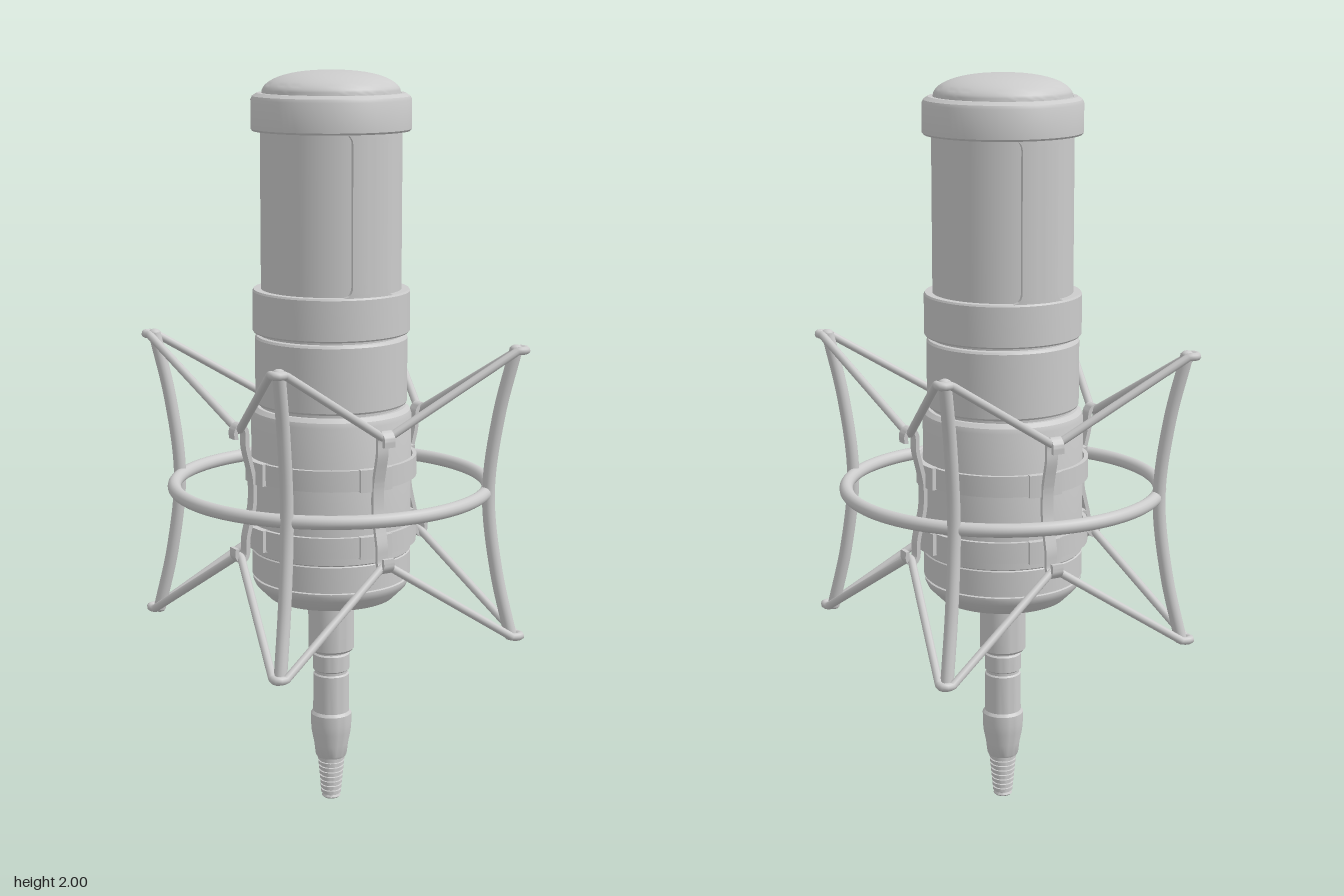
import * as THREE from 'three';
import { toCreasedNormals } from 'three/addons/utils/BufferGeometryUtils.js';

const material = new THREE.MeshStandardMaterial({ color: 0xcccccc });
const V = (x, y, z) => new THREE.Vector3(x, y, z);

function part(parent, name, geometry, crease = 0) {
  const mesh = new THREE.Mesh(crease ? toCreasedNormals(geometry, crease) : geometry, material);
  mesh.name = name;
  parent.add(mesh);
  return mesh;
}

// Solid of revolution from [radius, y] pairs, listed upward along the outside
function turned(points, segments = 72) {
  return new THREE.LatheGeometry(points.map(([r, y]) => new THREE.Vector2(r, y)), segments);
}

// Curved block between two radii, centred on +z
function arcBlock(inner, outer, halfAngle, y, height) {
  const mid = -Math.PI / 2;
  const shape = new THREE.Shape();
  shape.absarc(0, 0, outer, mid - halfAngle, mid + halfAngle, false);
  shape.absarc(0, 0, inner, mid + halfAngle, mid - halfAngle, true);
  const g = new THREE.ExtrudeGeometry(shape, { depth: height, bevelEnabled: false, curveSegments: 10 });
  return g.rotateX(-Math.PI / 2).translate(0, y, 0);
}

// Upright between the grille windows, flared at its ends to round the window corners
function grillePost(y0, y1, halfWidth, corner, inner, outer) {
  const g = new THREE.BoxGeometry(1, 1, 1, 12, 60, 1);
  const p = g.attributes.position;
  for (let i = 0; i < p.count; i++) {
    const y = y0 + (p.getY(i) + 0.5) * (y1 - y0);
    const d = Math.max(0, corner - Math.min(y - y0, y1 - y));
    const w = halfWidth + corner - Math.sqrt(Math.max(0, corner * corner - d * d));
    const a = p.getX(i) * 2 * w / outer;
    const r = p.getZ(i) > 0 ? outer : inner;
    p.setXYZ(i, r * Math.sin(a), y, r * Math.cos(a));
  }
  g.computeVertexNormals();
  return g;
}

// Flat strip following a centre line of [radius, y] points, hooked at both ends
function hookStrip(points, thickness, width) {
  const curve = new THREE.CatmullRomCurve3(points.map(([r, y]) => V(r, y, 0)));
  const sideA = [], sideB = [], n = 70;
  for (let i = 0; i <= n; i++) {
    const c = curve.getPoint(i / n), t = curve.getTangent(i / n);
    const ox = -t.y * thickness / 2, oy = t.x * thickness / 2;
    sideA.push(new THREE.Vector2(c.x + ox, c.y + oy));
    sideB.unshift(new THREE.Vector2(c.x - ox, c.y - oy));
  }
  const g = new THREE.ExtrudeGeometry(new THREE.Shape([...sideA, ...sideB]),
    { depth: width, bevelEnabled: false });
  return g.translate(0, 0, -width / 2).rotateY(-Math.PI / 2);
}

// Elastic cord zigzagging between four corner posts and four hooks
function cordLoop(cornerY, hookY) {
  const path = new THREE.CurvePath();
  const up = V(0, 1, 0), hook = V(0, hookY, 0.279);
  const tip = V(0.384, cornerY, 0.384);
  const c0 = V(0.345, cornerY, 0.371), c1 = V(0.371, cornerY, 0.345);
  const h0 = hook.clone().lerp(c0, 0.05);
  const h1 = h0.clone().setX(-h0.x);
  for (let i = 0; i < 4; i++) {
    const turn = (v) => v.clone().applyAxisAngle(up, i * Math.PI / 2);
    const next = (v) => v.clone().applyAxisAngle(up, (i + 1) * Math.PI / 2);
    path.add(new THREE.QuadraticBezierCurve3(turn(h1), turn(hook), turn(h0)));
    path.add(new THREE.LineCurve3(turn(h0), turn(c0)));
    path.add(new THREE.QuadraticBezierCurve3(turn(c0), turn(tip), turn(c1)));
    path.add(new THREE.LineCurve3(turn(c1), next(h1)));
  }
  return new THREE.TubeGeometry(path, 400, 0.011, 10, true);
}

export function createModel() {
  const model = new THREE.Group();
  model.name = 'studioMicrophone';

  // Microphone
  const mic = new THREE.Group();
  mic.name = 'microphone';
  model.add(mic);
  part(mic, 'lowerBody', turned([
    [0, 0.585], [0.15, 0.585], [0.172, 0.592], [0.205, 0.625], [0.212, 0.64], [0.212, 0.648],
    [0.207, 0.65], [0.207, 0.655], [0.215, 0.657], [0.215, 0.722], [0.212, 0.725], [0.215, 0.728],
    [0.215, 1.095], [0.211, 1.108], [0.2, 1.118], [0.19, 1.118],
  ]), 0.45);
  part(mic, 'upperBody', turned([
    [0.19, 1.112], [0.19, 1.125], [0.2, 1.127], [0.203, 1.132], [0.203, 1.302],
    [0.199, 1.308], [0.19, 1.31], [0.19, 1.322],
  ]), 0.45);
  part(mic, 'grilleCollar', turned([
    [0.185, 1.318], [0.206, 1.318], [0.209, 1.322], [0.209, 1.427], [0.206, 1.432], [0.184, 1.432],
  ]), 0.45);
  part(mic, 'grille', turned([[0.186, 1.42], [0.186, 1.86]]));
  for (const turn of [0, Math.PI]) {
    part(mic, 'grillePost', grillePost(1.43, 1.85, 0.052, 0.028, 0.19, 0.206), 0.5).rotation.y = turn;
  }
  part(mic, 'topCollar', turned([
    [0.184, 1.845], [0.206, 1.845], [0.21, 1.85], [0.21, 1.925], [0.206, 1.934],
    [0.194, 1.942], [0.182, 1.942], [0.182, 1.935],
  ]), 0.45);
  const dome = [[0.181, 1.932], [0.181, 1.943]];
  for (let i = 1; i <= 14; i++) {
    const a = i / 14 * Math.PI / 2;
    dome.push([0.181 * Math.cos(a) ** 0.85, 1.943 + 0.057 * Math.sin(a)]);
  }
  dome[dome.length - 1][0] = 0;
  part(mic, 'domeCap', turned(dome), 0.6);

  // Cable connector with ribbed strain relief
  const plug = new THREE.Group();
  plug.name = 'connector';
  model.add(plug);
  part(plug, 'connectorSocket', turned([
    [0, 0.432], [0.058, 0.432], [0.063, 0.438], [0.063, 0.59],
  ], 40), 0.45);
  part(plug, 'connectorSleeve', turned([
    [0, 0.122], [0.04, 0.122], [0.043, 0.128], [0.047, 0.16], [0.054, 0.195], [0.056, 0.22],
    [0.056, 0.248], [0.05, 0.256], [0.049, 0.362], [0.045, 0.366], [0.045, 0.373],
    [0.05, 0.377], [0.05, 0.42], [0.045, 0.424], [0.045, 0.435],
  ], 40), 0.45);
  const relief = [[0, 0], [0.022, 0], [0.026, 0.004]];
  for (let i = 0; i < 8; i++) {
    const y = 0.01 + i * 0.014, r = 0.028 + i * 0.0013;
    relief.push([r - 0.005, y], [r - 0.005, y + 0.004], [r, y + 0.005], [r, y + 0.013]);
  }
  relief.push([0.034, 0.124]);
  part(plug, 'strainRelief', turned(relief, 32), 0.45);

  // Shock mount cradle: two clamp bands, each with four lugs
  const mount = new THREE.Group();
  mount.name = 'shockMount';
  model.add(mount);
  for (const y of [0.75, 0.93]) {
    part(mount, 'clampBand', turned([
      [0.219, y], [0.23, y], [0.23, y + 0.056], [0.219, y + 0.056], [0.219, y],
    ]), 0.45);
    for (let i = 0; i < 4; i++) {
      part(mount, 'clampLug', arcBlock(0.222, 0.241, 0.2, y - 0.002, 0.06), 0.45).rotation.y = i * Math.PI / 2;
    }
  }

  // Hook strips, mirrored top to bottom about their middle
  const half = [[0.295, 1.055], [0.295, 1.078], [0.28, 1.092], [0.265, 1.078], [0.262, 1.03],
    [0.25, 0.98], [0.242, 0.94]];
  const midY = 0.907;
  const line = [...half, ...half.map(([r, y]) => [r, 2 * midY - y]).reverse()];
  for (let i = 0; i < 4; i++) {
    part(mount, 'hookStrip', hookStrip(line, 0.011, 0.032), 0.5).rotation.y = i * Math.PI / 2;
  }

  // Outer ring and the bowed corner posts fixed to it
  const ring = part(mount, 'outerRing', new THREE.TorusGeometry(0.423, 0.018, 16, 96));
  ring.rotation.x = Math.PI / 2;
  ring.position.y = 0.9;
  const bow = new THREE.CatmullRomCurve3([
    V(0.352, 0.51, 0.352), V(0.322, 0.69, 0.322), V(0.305, 0.9, 0.305),
    V(0.322, 1.11, 0.322), V(0.352, 1.29, 0.352),
  ]);
  for (let i = 0; i < 4; i++) {
    const post = new THREE.Group();
    post.name = 'cornerPost';
    post.rotation.y = i * Math.PI / 2;
    mount.add(post);
    part(post, 'postRod', new THREE.TubeGeometry(bow, 40, 0.017, 14));
    for (const t of [0, 1]) {
      const cap = part(post, 'postCap', new THREE.SphereGeometry(0.017, 14, 8));
      cap.position.copy(bow.getPoint(t));
      cap.scale.y = 0.7;
    }
  }

  // Elastic cords, upper and lower
  part(mount, 'upperCord', cordLoop(1.288, 1.073));
  part(mount, 'lowerCord', cordLoop(0.512, 2 * midY - 1.073));
  return model;
}
